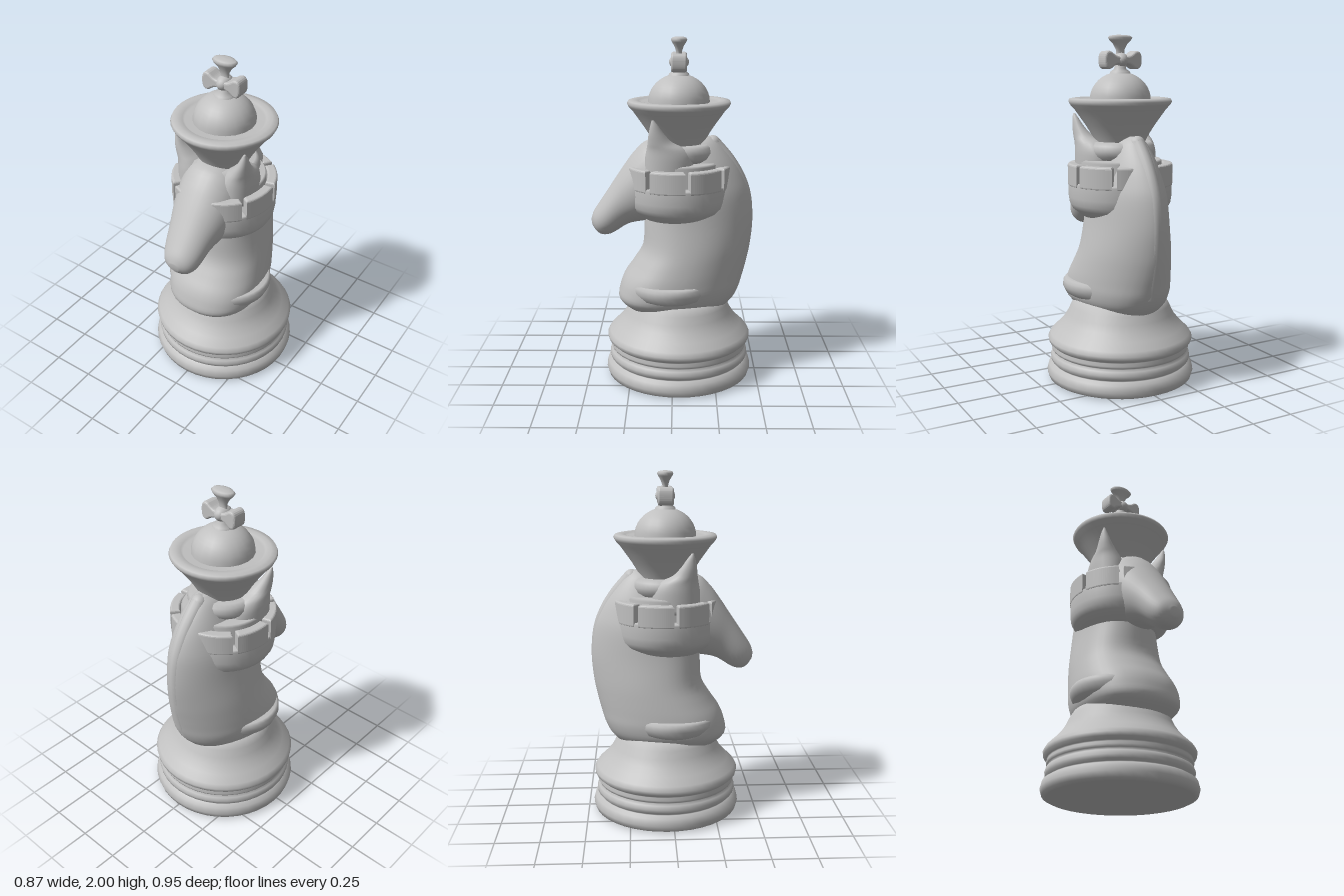
import * as THREE from 'three';

const stone = new THREE.MeshStandardMaterial({ color: 0xc0c0c0 });
stone.name = 'stone grey';
const AXIS = -0.035; // z of the turned parts

function part(name, geometry, x = 0, y = 0, z = 0) {
  const mesh = new THREE.Mesh(geometry, stone);
  mesh.name = name;
  mesh.position.set(x, y, z);
  return mesh;
}

function lathe(points, segments = 40) {
  return new THREE.LatheGeometry(points.map(([r, y]) => new THREE.Vector2(r, y)), segments);
}

// Catmull-Rom blend of four values
function blend(a, b, c, d, t) {
  const quad = 2 * a - 5 * b + 4 * c - d;
  const cubic = 3 * (b - c) + d - a;
  return b + 0.5 * t * (c - a + t * (quad + t * cubic));
}

// Smooth resampling of rows of section parameters
function smoothRows(rows, steps = 4) {
  const out = [];
  const last = rows.length - 1;
  for (let i = 0; i < last; i++) {
    const p0 = rows[Math.max(i - 1, 0)], p2 = rows[i + 1], p3 = rows[Math.min(i + 2, last)];
    for (let s = 0; s < steps; s++) {
      out.push(rows[i].map((b, k) => blend(p0[k], b, p2[k], p3[k], s / steps)));
    }
  }
  out.push(rows[last]);
  return out;
}

// Capped skin over sections; at(row, sin, cos) gives a point
function loft(rows, at, n = 32) {
  const sections = smoothRows(rows);
  const pos = [], index = [], last = sections.length - 1;
  for (const row of sections) {
    for (let j = 0; j < n; j++) {
      const a = (j / n) * Math.PI * 2;
      pos.push(...at(row, Math.sin(a), Math.cos(a)));
    }
  }
  for (const i of [0, last]) {
    const a = at(sections[i], 0, 1), b = at(sections[i], 0, -1);
    pos.push(...a.map((v, k) => (v + b[k]) / 2));
  }
  const c0 = (last + 1) * n;
  for (let j = 0; j < n; j++) {
    const k = (j + 1) % n;
    for (let i = 0; i < last; i++) {
      const a = i * n + j, b = i * n + k;
      index.push(a, b, b + n, a, b + n, a + n);
    }
    index.push(c0, k, j, c0 + 1, last * n + j, last * n + k);
  }
  const g = new THREE.BufferGeometry();
  g.setAttribute('position', new THREE.Float32BufferAttribute(pos, 3));
  g.setIndex(index);
  g.computeVertexNormals();
  return g;
}

const power = (v, p) => Math.sign(v) * Math.pow(Math.abs(v), p);

// Upright block with rounded edges between two angles, measured from +x toward +z
function sector(r0, r1, a0, a1, height) {
  const b = 0.012, s = new THREE.Shape();
  s.absarc(0, 0, r1 - b, -a0, -a1, true);
  s.absarc(0, 0, r0 + b, -a1, -a0, false);
  s.closePath();
  const g = new THREE.ExtrudeGeometry(s, {
    depth: height - 2 * b, bevelSize: b, bevelThickness: b, bevelSegments: 3, curveSegments: 8,
  });
  return g.rotateX(-Math.PI / 2).translate(0, b, 0);
}

export function createModel() {
  const model = new THREE.Group();
  model.name = 'combinedChessPiece';

  // Turned foot with three grooved rings
  model.add(part('base', lathe([
    [0, 0], [0.4, 0], [0.425, 0.012], [0.435, 0.045], [0.425, 0.085], [0.398, 0.098],
    [0.398, 0.104], [0.411, 0.115], [0.414, 0.135], [0.407, 0.158], [0.39, 0.167],
    [0.402, 0.176], [0.408, 0.19], [0.4, 0.206], [0.405, 0.212], [0.423, 0.228],
    [0.427, 0.25], [0.412, 0.275], [0.37, 0.315], [0.335, 0.355], [0.31, 0.395],
    [0.29, 0.44], [0.265, 0.48], [0.2, 0.5], [0, 0.5],
  ]), 0, 0, AXIS));

  // Horse neck: y, front z, back z, half width, sharpness of the back
  const neckRows = [
    [0.415, 0.25, -0.3, 0.2, 1], [0.48, 0.318, -0.36, 0.265, 1], [0.55, 0.312, -0.395, 0.283, 1.05],
    [0.62, 0.285, -0.415, 0.28, 1.15], [0.7, 0.23, -0.435, 0.267, 1.25], [0.8, 0.175, -0.455, 0.248, 1.35],
    [0.95, 0.165, -0.468, 0.22, 1.35], [1.1, 0.15, -0.455, 0.2, 1.35], [1.2, 0.1, -0.42, 0.17, 1.3],
    [1.3, 0.0, -0.36, 0.13, 1.2], [1.4, -0.08, -0.275, 0.08, 1], [1.44, -0.15, -0.23, 0.03, 1],
  ];
  model.add(part('horseNeck', loft(neckRows, ([y, f, b, w, p], s, c) => {
    const mid = f * 0.6 + b * 0.4;
    return c > 0
      ? [w * power(s, 0.88), y, mid + (f - mid) * power(c, 0.88)]
      : [w * power(s, p), y, mid + (mid - b) * c];
  }, 40)));

  // Rounded mane down the back of the neck
  const crest = neckRows.slice(2, -1).map(([y, , b]) => new THREE.Vector3(0, y, b + 0.045));
  model.add(part('mane', new THREE.TubeGeometry(new THREE.CatmullRomCurve3(crest), 32, 0.045, 12)));
  const end = crest[crest.length - 1];
  model.add(part('maneTip', new THREE.SphereGeometry(0.045, 16, 12), 0, end.y, end.z));

  // Lip on both sides of the chest
  const lip = lathe([[0.2, 0.49], [0.27, 0.5], [0.308, 0.522], [0.325, 0.56],
    [0.322, 0.59], [0.31, 0.605], [0.27, 0.605], [0.15, 0.6]]);
  model.add(part('chestCollar', lip.scale(1, 1, 0.86), 0, 0, 0.012));

  // Horse head: top z, top y, bottom z, bottom y, half width
  const headRows = [
    [0.477, 0.955, 0.468, 0.905, 0.03], [0.462, 1.0, 0.425, 0.862, 0.082],
    [0.42, 1.065, 0.36, 0.865, 0.114], [0.35, 1.17, 0.26, 0.925, 0.138],
    [0.28, 1.275, 0.17, 0.945, 0.166], [0.22, 1.355, 0.05, 0.96, 0.188],
    [0.15, 1.415, -0.08, 1.0, 0.2], [0.03, 1.43, -0.15, 1.1, 0.19],
  ];
  model.add(part('horseHead', loft(headRows, ([tz, ty, bz, by, w], s, c) => {
    const u = c / 2;
    return [w * power(s, 0.95), (ty + by) / 2 + (ty - by) * u, (tz + bz) / 2 + (tz - bz) * u];
  })));

  // Ears: y, x, z, half width, half depth
  const earRows = [
    [1.22, 0.14, 0.02, 0.1, 0.14], [1.33, 0.143, 0.02, 0.1, 0.135],
    [1.39, 0.16, 0.035, 0.08, 0.11], [1.43, 0.182, 0.068, 0.056, 0.07],
    [1.48, 0.204, 0.088, 0.034, 0.044], [1.53, 0.217, 0.1, 0.018, 0.022], [1.56, 0.222, 0.108, 0.006, 0.006],
  ];
  for (const side of [1, -1]) {
    model.add(part(side > 0 ? 'leftEar' : 'rightEar', loft(earRows,
      ([y, x, z, w, d], s, c) => [side * x + w * s, y, z + d * c], 20)));
  }

  // Castle tower wrapped around the neck, with eight battlements
  const tower = new THREE.Group();
  tower.name = 'castleTower';
  tower.position.z = AXIS;
  tower.add(part('towerBody', lathe([
    [0.14, 0.935], [0.19, 0.96], [0.235, 0.988], [0.275, 1.02], [0.292, 1.05], [0.298, 1.09],
    [0.3, 1.165], [0.293, 1.175], [0.25, 1.175], [0.24, 1.18], [0.24, 1.29], [0.23, 1.302], [0, 1.305],
  ])));
  const rad = THREE.MathUtils.degToRad;
  for (let i = 0; i < 8; i++) {
    const notch = 35 + i * 45;
    tower.add(part('merlon', sector(0.245, 0.302, rad(notch + 5), rad(notch + 40), 0.13), 0, 1.15, 0));
  }
  model.add(tower);

  // Ring between tower and crown
  model.add(part('neckRing', lathe([
    [0, 1.3], [0.175, 1.305], [0.195, 1.325], [0.203, 1.355], [0.195, 1.385], [0.175, 1.403], [0, 1.41],
  ]), 0, 0, AXIS));

  // Flared crown with a rolled rim
  model.add(part('crown', lathe([
    [0.13, 1.37], [0.148, 1.41], [0.17, 1.45], [0.198, 1.495], [0.23, 1.54], [0.262, 1.585], [0.287, 1.612],
    [0.296, 1.63], [0.289, 1.645], [0.26, 1.65], [0.23, 1.646], [0.218, 1.636], [0, 1.632],
  ]), 0, 0, AXIS));

  // Dome and the stem of the finial
  const dome = [];
  for (let i = 0; i <= 10; i++) {
    const a = (i / 10) * Math.PI / 2;
    dome.push([0.176 * Math.cos(a), 1.635 + 0.16 * Math.sin(a)]);
  }
  model.add(part('dome', lathe(dome, 20), 0, 0, AXIS));
  model.add(part('finialStem', lathe([
    [0.065, 1.77], [0.055, 1.797], [0.035, 1.81], [0.028, 1.86],
  ], 20), 0, 0, AXIS));

  // Cross finial: round flared top, two broad side arms and a bead
  const cross = new THREE.Group();
  cross.name = 'crossFinial';
  cross.position.set(0, 1.86, AXIS);
  const top = lathe([[0.024, 0], [0.017, 0.03], [0.018, 0.05], [0.028, 0.075], [0.044, 0.095],
    [0.05, 0.107], [0.043, 0.116], [0.025, 0.12], [0, 0.121]], 20);
  cross.add(part('topArm', top.scale(1.5, 1.157, 0.92)));
  const fan = new THREE.Shape();
  fan.moveTo(0, -0.008);
  fan.bezierCurveTo(0.05, -0.008, 0.06, -0.022, 0.08, -0.036);
  fan.bezierCurveTo(0.1, -0.045, 0.108, -0.03, 0.108, 0);
  fan.bezierCurveTo(0.108, 0.03, 0.1, 0.045, 0.08, 0.036);
  fan.bezierCurveTo(0.06, 0.022, 0.05, 0.008, 0, 0.008);
  for (const side of [1, -1]) {
    const arm = new THREE.ExtrudeGeometry(fan, {
      depth: 0.066, bevelSize: 0.012, bevelThickness: 0.012, bevelSegments: 3, curveSegments: 8,
    });
    arm.translate(0, 0, -0.033).rotateY(side > 0 ? 0 : Math.PI);
    cross.add(part(side > 0 ? 'leftArm' : 'rightArm', arm));
  }
  cross.add(part('centreBead', new THREE.SphereGeometry(0.042, 20, 14).scale(1, 1, 1.35)));
  model.add(cross);

  return model;
}
